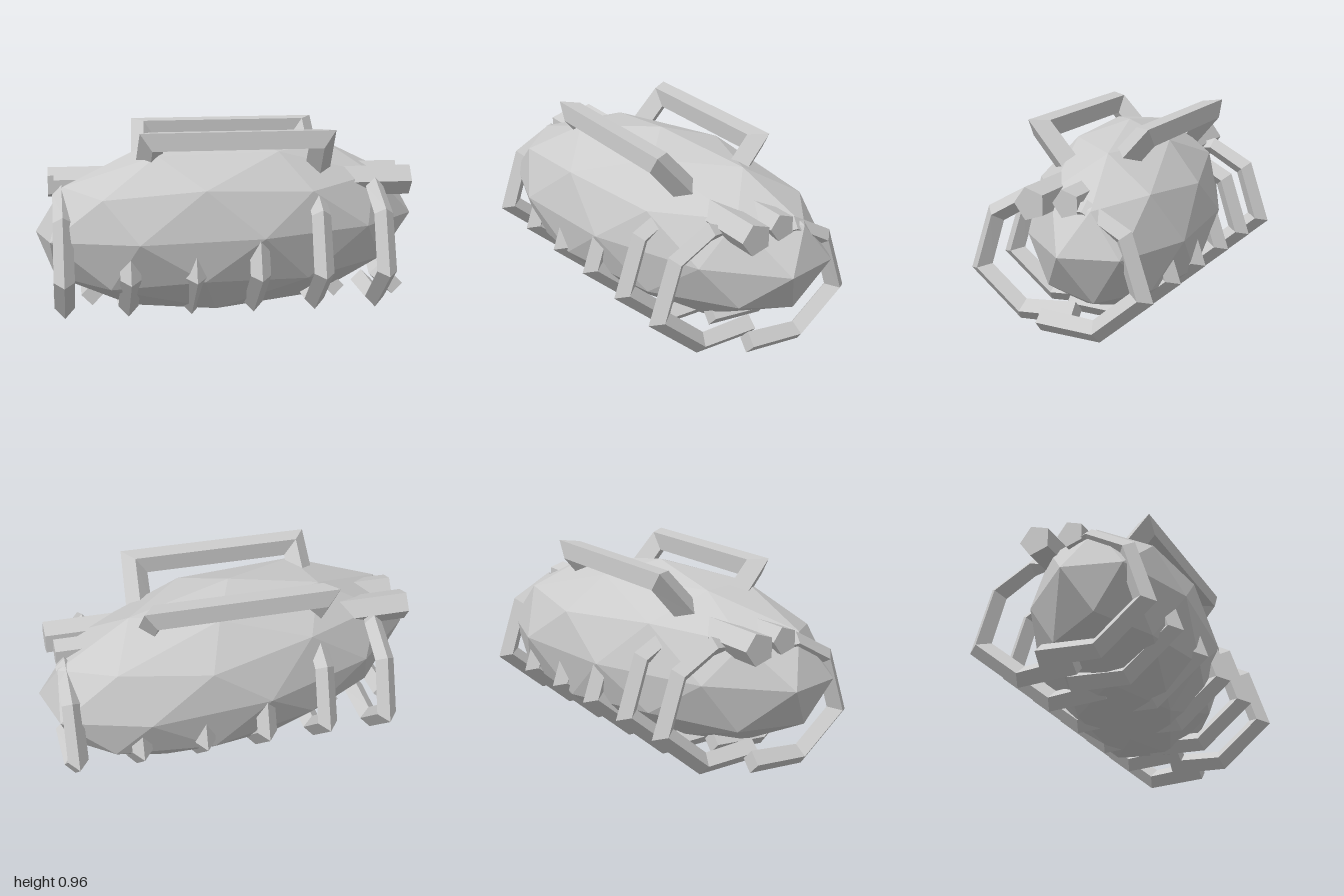
import * as THREE from 'three';

const grey = new THREE.MeshStandardMaterial({ color: 0xcccccc, flatShading: true });
grey.name = 'grey';

const V = (x, y, z) => new THREE.Vector3(x, y, z);

// Mitred tube along a flat polyline; radii per point, sides and phase set the section
function strut(points, radii, sides, phase) {
  const normal = V(0, 0, 0);
  for (let i = 1; i < points.length - 1; i++) {
    const a = points[i].clone().sub(points[i - 1]);
    normal.add(a.cross(points[i + 1].clone().sub(points[i])));
  }
  normal.normalize();
  const pos = [], index = [], last = points.length - 1;
  points.forEach((p, i) => {
    const a = points[Math.max(i, 1)].clone().sub(points[Math.max(i, 1) - 1]).normalize();
    const j = Math.min(i, last - 1);
    const b = points[j + 1].clone().sub(points[j]).normalize();
    const t = a.clone().add(b).normalize();
    const side = normal.clone().cross(t).divideScalar(t.dot(a));
    for (let k = 0; k < sides; k++) {
      const ang = phase + (k / sides) * Math.PI * 2;
      const q = p.clone()
        .addScaledVector(side, Math.cos(ang) * radii[i])
        .addScaledVector(normal, Math.sin(ang) * radii[i]);
      pos.push(q.x, q.y, q.z);
    }
  });
  // Section runs side -> normal, which turns clockwise about the path
  for (let i = 0; i < last; i++) {
    for (let k = 0; k < sides; k++) {
      const a = i * sides + k, b = i * sides + (k + 1) % sides;
      index.push(a, a + sides, b, b, a + sides, b + sides);
    }
  }
  for (let k = 1; k < sides - 1; k++) {
    index.push(0, k, k + 1);
    index.push(last * sides, last * sides + k + 1, last * sides + k);
  }
  // Make sure the faces look outwards
  const vol = (() => {
    let s = 0;
    const at = (n) => V(pos[n * 3], pos[n * 3 + 1], pos[n * 3 + 2]);
    for (let n = 0; n < index.length; n += 3) {
      s += at(index[n]).dot(at(index[n + 1]).cross(at(index[n + 2])));
    }
    return s;
  })();
  if (vol < 0) index.reverse();
  const g = new THREE.BufferGeometry();
  g.setAttribute('position', new THREE.Float32BufferAttribute(pos, 3));
  g.setIndex(index);
  g.computeVertexNormals();
  return g;
}

function add(parent, geometry, name) {
  const m = new THREE.Mesh(geometry, grey);
  m.name = name;
  parent.add(m);
  return m;
}

// Ribs, handle and stub bars of one side, built facing +z
function makeSide(name) {
  const side = new THREE.Group();
  side.name = name;

  // Six hooked ribs with a diamond section
  const profile = [[0.07, 0.64], [0.18, 0.655], [0.365, 0.55], [0.452, 0.28], [0.228, 0.093], [-0.055, 0.11]];
  const ribGeo = strut(profile.map(([w, y]) => V(0, y, w)), [0.012, 0.045, 0.048, 0.05, 0.05, 0.055], 4, 0);
  for (let i = 0; i < 6; i++) {
    add(side, ribGeo, 'rib').position.x = -0.854 + 0.3135 * i;
  }

  // Carrying handle
  const handle = [V(-0.43, 0.74, 0.12), V(-0.42, 0.915, 0.275), V(0.42, 0.915, 0.275), V(0.43, 0.74, 0.12)];
  add(side, strut(handle, [0.065, 0.062, 0.062, 0.065], 4, 0), 'handle');

  // Five-sided stub bars at the end of the body
  const bar = (r, x0, x1, y, z, label) => {
    const g = new THREE.CylinderGeometry(r, r, x1 - x0, 5);
    g.rotateZ(-Math.PI / 2);
    add(side, g, label).position.set((x0 + x1) / 2, y, z);
  };
  bar(0.08, 0.5, 0.92, 0.67, 0.066, 'longStub');
  bar(0.068, 0.68, 0.89, 0.68, -0.1, 'shortStub');
  return side;
}

export function createModel() {
  const model = new THREE.Group();
  model.name = 'ribbedPod';

  // Faceted body with a vertex at its top and bottom
  const body = new THREE.IcosahedronGeometry(1, 1);
  body.rotateZ(-Math.atan(2 / (1 + Math.sqrt(5))));
  body.scale(1.03, 0.453, 0.46);
  body.translate(0, 0.458, 0);
  add(model, body, 'body');

  // Frame turned askew to the body, same on both sides by a half turn
  const frame = new THREE.Group();
  frame.name = 'frame';
  frame.rotation.y = -THREE.MathUtils.degToRad(14);
  const front = makeSide('frontSide');
  const back = makeSide('backSide');
  back.rotation.y = Math.PI;
  frame.add(front, back);
  model.add(frame);
  return model;
}
